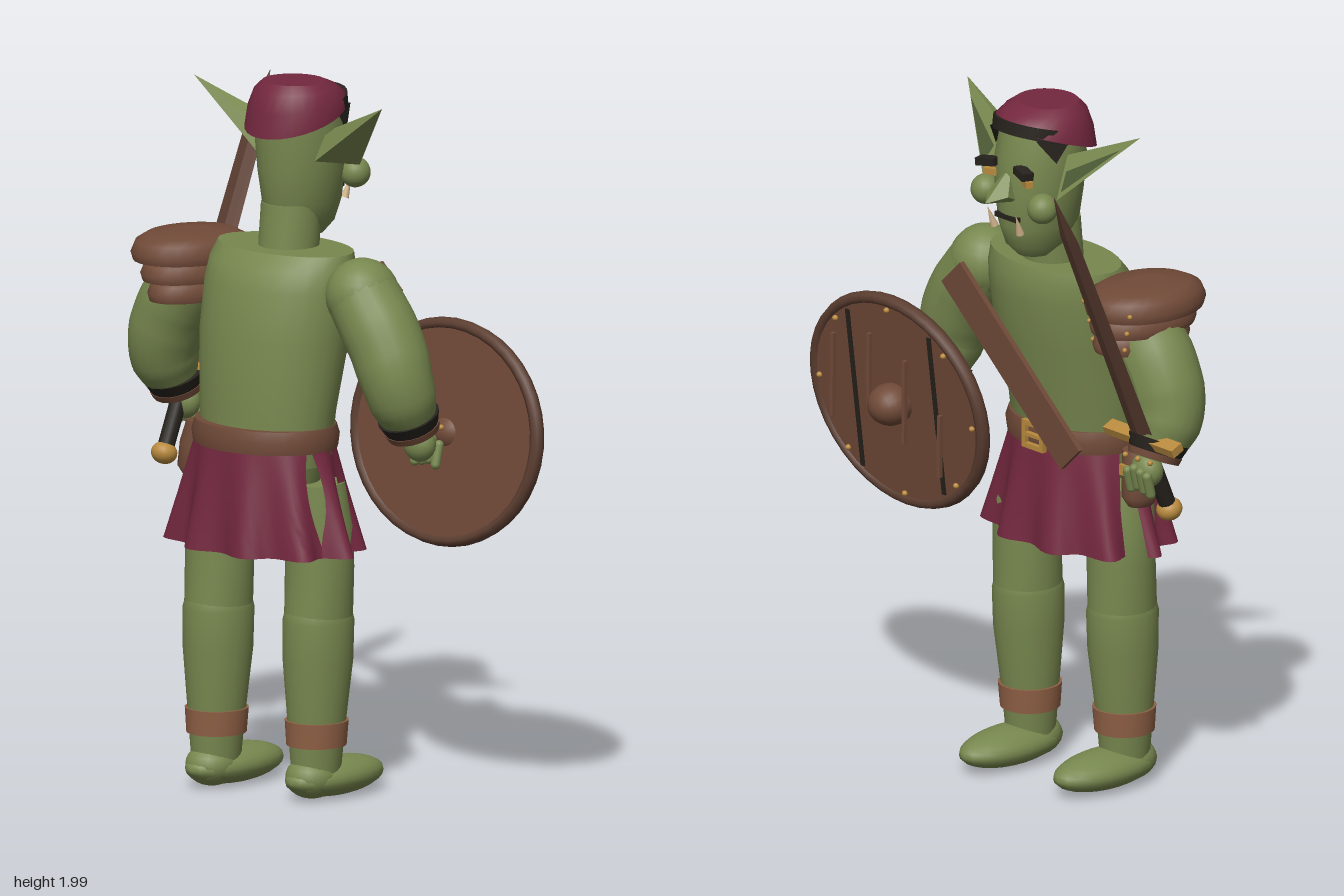
import * as THREE from 'three';
import { ConvexGeometry } from 'three/addons/geometries/ConvexGeometry.js';

const V = (x, y, z) => new THREE.Vector3(x, y, z);
const MID = -0.107; // body centre line in z; the figure faces +x

function mat(name, color, double) {
  const m = new THREE.MeshStandardMaterial({ color });
  m.name = name;
  if (double) m.side = THREE.DoubleSide;
  return m;
}

// Stack of ellipses: [y, cx, cz, rx, rz, tilt], closed at both ends
function loft(sections, sides = 28, flat = false) {
  const first = sections[0], last = sections[sections.length - 1];
  const point = s => [s[0], s[1], s[2], 0, 0];
  const rings = [point(first), first, ...sections, last, point(last)];
  const pos = [], idx = [];
  for (const [y, cx, cz, rx, rz, tilt = 0] of rings)
    for (let i = 0; i < sides; i++) {
      const a = i / sides * Math.PI * 2, dx = Math.cos(a) * rx;
      pos.push(cx + dx, y + tilt * dx, cz + Math.sin(a) * rz);
    }
  for (let j = 0; j < rings.length - 1; j++)
    for (let i = 0; i < sides; i++) {
      const k = (i + 1) % sides, a = j * sides + i, c = j * sides + k;
      idx.push(a, a + sides, c, a + sides, c + sides, c);
    }
  let g = new THREE.BufferGeometry();
  g.setAttribute('position', new THREE.Float32BufferAttribute(pos, 3));
  g.setIndex(idx);
  if (flat) g = g.toNonIndexed();
  g.computeVertexNormals();
  return g;
}

// Tube whose radius follows a list of values along its path
function limb(points, radii) {
  const n = 24, sides = 20, curve = new THREE.CatmullRomCurve3(points);
  const g = new THREE.TubeGeometry(curve, n, 1, sides);
  const p = g.attributes.position, v = V(0, 0, 0);
  for (let i = 0; i <= n; i++) {
    const c = curve.getPointAt(i / n), f = i / n * (radii.length - 1);
    const k = Math.min(Math.floor(f), radii.length - 2);
    const r = THREE.MathUtils.lerp(radii[k], radii[k + 1], f - k);
    for (let j = 0; j <= sides; j++) {
      const q = i * (sides + 1) + j;
      v.fromBufferAttribute(p, q).sub(c).multiplyScalar(r).add(c);
      p.setXYZ(q, v.x, v.y, v.z);
    }
  }
  g.computeVertexNormals();
  return g;
}

export function createModel() {
  const root = new THREE.Group();
  const green = mat('skin green', 0x78884f), darkGreen = mat('dark green', 0x4b5833, true);
  const brown = mat('leather brown', 0x704a38), darkBrown = mat('dark brown', 0x5c3e31);
  const tan = mat('ankle tan', 0x8f6045), gold = mat('gold', 0xb88a3e);
  const maroon = mat('maroon cloth', 0x74283f, true), black = mat('black', 0x26221d);
  const bone = mat('bone', 0xd2b48c);

  const add = (name, geo, m, pos = [0, 0, 0], rot = [0, 0, 0], parent = root) => {
    const o = new THREE.Mesh(geo, m);
    o.name = name;
    o.position.set(...pos);
    o.rotation.set(...rot);
    parent.add(o);
    return o;
  };
  const ball = (name, m, pos, r, scale = [1, 1, 1], parent = root) => {
    const o = add(name, new THREE.SphereGeometry(r, 20, 14), m, pos, [0, 0, 0], parent);
    o.scale.set(...scale);
    return o;
  };
  const box = (name, m, size, pos, rot, parent) => add(name, new THREE.BoxGeometry(...size), m, pos, rot, parent);

  // Torso, hips, neck and head
  add('torso', loft([[0.95, -0.14, MID, 0.15, 0.2], [1.1, -0.132, MID, 0.155, 0.215], [1.3, -0.105, MID, 0.177, 0.232],
    [1.44, -0.083, MID, 0.17, 0.238], [1.5, -0.07, MID, 0.158, 0.235], [1.54, -0.058, MID, 0.132, 0.225]]), green);
  add('hips', loft([[0.83, -0.13, MID, 0.1, 0.15], [0.97, -0.14, MID, 0.135, 0.185]]), green);
  add('neck', loft([[1.5, -0.05, MID, 0.085, 0.085], [1.66, -0.035, MID, 0.085, 0.085]]), green);
  add('head', loft([[1.565, 0.015, MID, 0.06, 0.05], [1.6, 0.01, MID, 0.1, 0.08], [1.66, 0.007, MID, 0.122, 0.1],
    [1.75, 0.005, MID, 0.128, 0.118], [1.85, 0, MID, 0.13, 0.125], [1.93, -0.01, MID, 0.12, 0.12]]), green);
  add('hair', loft([[1.905, 0.003, MID, 0.135, 0.13, 0.25], [1.945, 0, MID, 0.133, 0.13, 0.2]]), black);
  add('cap', loft([[1.9, -0.015, MID - 0.003, 0.145, 0.14, 0.32], [1.945, -0.015, MID, 0.136, 0.135, 0.17],
    [1.98, -0.02, MID, 0.115, 0.115, 0.05], [2.0, -0.025, MID, 0.085, 0.09]]), maroon);

  // Face: mirrored halves around the centre line
  for (const s of [1, -1]) {
    const half = new THREE.Group();
    half.name = s > 0 ? 'leftFace' : 'rightFace';
    half.position.z = MID;
    half.scale.z = s;
    root.add(half);
    add('ear', new ConvexGeometry([V(-0.06, 1.79, 0.11), V(0.08, 1.765, 0.15), V(0.01, 1.875, 0.12),
      V(-0.03, 1.85, 0.1), V(-0.05, 1.97, 0.352)]), green, [0, 0, 0], [0, 0, 0], half);
    const inner = new THREE.BufferGeometry().setFromPoints([V(0.066, 1.79, 0.16), V(0.033, 1.84, 0.147), V(-0.025, 1.93, 0.305)]);
    inner.computeVertexNormals();
    add('innerEar', inner, darkGreen, [0.007, 0, 0], [0, 0, 0], half);
    add('temple', new ConvexGeometry([V(0.105, 1.93, 0.093), V(0.01, 1.92, 0.132), V(0.055, 1.86, 0.123),
      V(0.05, 1.92, 0.09)]), black, [0, 0, 0], [0, 0, 0], half);
    ball('cheek', green, [0.1, 1.737, 0.115], 0.043, [1, 1, 1], half);
    box('eye', gold, [0.02, 0.018, 0.045], [0.117, 1.805, 0.071], [0, 0.45, 0], half);
    box('brow', black, [0.035, 0.022, 0.06], [0.133, 1.838, 0.073], [0.12, 0.3, 0], half);
    add('tusk', new THREE.ConeGeometry(0.012, 0.065, 8), bone, [0.137, 1.683, 0.055], [0.1, 0, -0.35], half);
  }
  add('nose', new ConvexGeometry([V(0.11, 1.84, MID), V(0.11, 1.74, MID - 0.03), V(0.11, 1.74, MID + 0.03),
    V(0.16, 1.765, MID - 0.04), V(0.16, 1.765, MID + 0.04), V(0.21, 1.748, MID)]), green);
  box('mouth', black, [0.02, 0.014, 0.09], [0.123, 1.69, MID]);

  // Legs, knees, ankle bands and feet
  for (const [side, z, dx] of [['left', 0.057, 0], ['right', -0.267, -0.055]]) {
    const leg = new THREE.Group();
    leg.name = side + 'Leg';
    leg.position.set(dx, 0, z);
    root.add(leg);
    add('thigh', loft([[0.5, -0.105, 0, 0.1, 0.092], [0.66, -0.1, 0, 0.095, 0.097], [0.78, -0.1, 0, 0.095, 0.095],
      [0.9, -0.11, 0, 0.085, 0.07]]), green, [0, 0, 0], [0, 0, 0], leg);
    add('shin', loft([[0.06, -0.115, 0, 0.07, 0.065], [0.2, -0.113, 0, 0.08, 0.078], [0.4, -0.107, 0, 0.101, 0.096],
      [0.51, -0.105, 0, 0.104, 0.097], [0.535, -0.105, 0, 0.098, 0.09]]), green, [0, 0, 0], [0, 0, 0], leg);
    add('ankleBand', loft([[0.16, -0.113, 0, 0.085, 0.083], [0.23, -0.112, 0, 0.09, 0.088]]), tan, [0, 0, 0], [0, 0, 0], leg);
    ball('foot', green, [-0.04, 0.062, 0], 0.18, [1, 0.3, 0.49], leg);
    ball('heel', green, [-0.13, 0.07, 0], 0.08, [1, 0.75, 0.9], leg);
  }

  // Pleated skirt in panels: an open slit and a lens-shaped tear over each hip
  const gap = (a, t) => Math.cos(a) > 0 ? 0.12 * Math.min(1, t * 1.6) : 0.13 * Math.sin(Math.PI * Math.min(1, t * 1.15));
  const panel = (a0, a1) => {
    const n = 36, rows = 10, pos = [], idx = [];
    for (let j = 0; j <= rows; j++)
      for (let i = 0; i <= n; i++) {
        const t = j / rows, a = THREE.MathUtils.lerp(a0 + gap(a0, t), a1 - gap(a1, t), i / n);
        const w = 1 - 0.09 * t * Math.cos(a * 10);
        pos.push(-0.145 + Math.cos(a) * (0.16 + 0.04 * t) * w, 1.03 - 0.32 * t, MID + Math.sin(a) * (0.208 + 0.092 * t) * w);
        if (i < n && j < rows) {
          const k = j * (n + 1) + i;
          idx.push(k, k + 1, k + n + 1, k + 1, k + n + 2, k + n + 1);
        }
      }
    const g = new THREE.BufferGeometry();
    g.setAttribute('position', new THREE.Float32BufferAttribute(pos, 3));
    g.setIndex(idx);
    g.computeVertexNormals();
    return g;
  };
  const cuts = [-1.33, 1.33, 1.85, Math.PI * 2 - 1.85, Math.PI * 2 - 1.33];
  for (let i = 0; i < 4; i++) add('skirtPanel', panel(cuts[i], cuts[i + 1]), maroon);

  // Belt, buckle and pouch
  add('belt', loft([[0.995, -0.142, MID, 0.176, 0.22], [1.03, -0.142, MID, 0.181, 0.224], [1.06, -0.142, MID, 0.172, 0.215]]), brown);
  for (const s of [1, -1]) {
    box('buckle', gold, [0.015, 0.014, 0.086], [0.047, 1.035 + s * 0.033, -0.13]);
    box('buckle', gold, [0.015, 0.08, 0.014], [0.047, 1.035, -0.13 + s * 0.036]);
  }
  box('bucklePin', gold, [0.015, 0.01, 0.06], [0.047, 1.035, -0.13]);
  add('pouch', loft([[0.86, -0.12, -0.385, 0.04, 0.03], [0.89, -0.12, -0.385, 0.06, 0.048], [0.96, -0.12, -0.38, 0.055, 0.046],
    [1.02, -0.12, -0.37, 0.045, 0.035]], 16), brown);
  box('pouchClasp', gold, [0.03, 0.03, 0.03], [-0.075, 0.97, -0.375]);

  // Chest strap
  box('chestStrap', brown, [0.016, 0.63, 0.105], [0.08, 1.235, -0.077], [0.77, 0, -0.07]);

  // Arms, cuffs and hands
  const arms = [['left', [V(-0.07, 1.44, 0.19), V(-0.07, 1.31, 0.28), V(-0.065, 1.19, 0.325), V(-0.01, 1.06, 0.33)]],
    ['right', [V(-0.07, 1.41, -0.44), V(-0.075, 1.3, -0.515), V(-0.07, 1.19, -0.553), V(-0.02, 1.06, -0.55)]]];
  for (const [side, pts] of arms) {
    const z = pts[3].z;
    add(side + 'Arm', limb(pts, [0.103, 0.108, 0.106, 0.095, 0.06]), green);
    ball(side + 'Shoulder', green, pts[0].toArray(), 0.104);
    add(side + 'Cuff', new THREE.CylinderGeometry(0.088, 0.076, 0.035, 20), black, [-0.028, 1.097, z], [0, 0, 0.4]);
    add(side + 'CuffBand', new THREE.CylinderGeometry(0.079, 0.074, 0.02, 20), brown, [-0.017, 1.072, z], [0, 0, 0.4]);
    for (const d of [-0.05, 0, 0.05]) ball('cuffStud', gold, [0.045, 1.075, z + d], 0.008);
    ball(side + 'Palm', green, [0, 1.03, z + 0.01], 0.05, [0.8, 1, 1]);
    for (let i = 0; i < 4; i++)
      add(side + 'Finger', new THREE.CapsuleGeometry(0.014, 0.055, 4, 10), green,
        [0.03, 1.0 + (i % 3) * 0.006, z + 0.01 + (i - 1.5) * 0.026], [0, 0, -0.25]);
  }

  // Layered shoulder guard with studs
  const layers = [[1.355, 0.065, 0.16, 0.1, -0.43], [1.41, 0.065, 0.172, 0.118, -0.437], [1.465, 0.075, 0.188, 0.145, -0.445]];
  for (const [y, h, rx, rz, z] of layers) {
    add('shoulderGuard', loft([[y, -0.08, z, rx * 0.96, rz * 0.96], [y + h * 0.3, -0.08, z, rx, rz],
      [y + h * 0.7, -0.08, z, rx * 0.93, rz * 0.92], [y + h * 0.92, -0.08, z, rx * 0.75, rz * 0.75],
      [y + h, -0.08, z, rx * 0.35, rz * 0.35]]), brown);
    for (const a of [-0.7, 0.7])
      ball('guardStud', gold, [-0.08 + Math.cos(a) * rx, y + h * 0.35, z + Math.sin(a) * rz], 0.007);
  }

  // Sword, leaning forward
  const sword = new THREE.Group();
  sword.name = 'sword';
  sword.position.set(0.015, 1.125, -0.54);
  sword.rotation.z = -0.405;
  root.add(sword);
  add('blade', loft([[0, 0, 0, 0.013, 0.047], [0.71, 0, 0, 0.009, 0.036], [0.855, 0, 0, 0.001, 0.001]], 4, true), darkBrown, [0, 0, 0], [0, 0, 0], sword);
  box('guard', gold, [0.04, 0.025, 0.28], [0, 0, 0], [0, 0, 0], sword);
  add('grip', new THREE.CylinderGeometry(0.024, 0.024, 0.23, 14), black, [0, -0.12, 0], [0, 0, 0], sword);
  ball('pommel', gold, [0, -0.25, 0], 0.037, [1, 0.85, 1], sword);

  // Round shield: local y points outward along +x, local -x points up
  const shield = new THREE.Group();
  shield.name = 'shield';
  shield.position.set(0.13, 1.042, 0.325);
  shield.rotation.z = -Math.PI / 2 - 0.125;
  shield.scale.set(0.9, 1, 1);
  root.add(shield);
  add('shieldFace', new THREE.CylinderGeometry(0.335, 0.335, 0.028, 40), brown, [0, 0, 0], [0, 0, 0], shield);
  const rim = add('shieldRim', new THREE.TorusGeometry(0.335, 0.019, 8, 40), darkBrown, [0, 0, 0], [Math.PI / 2, 0, 0], shield);
  rim.scale.z = 1.1;
  for (const z of [-0.165, 0.165])
    box('plankGap', black, [0.53, 0.008, 0.014], [0, 0.015, z], [0, 0, 0], shield);
  for (const [x, z, l] of [[-0.04, 0.22, 0.27], [-0.1, 0.065, 0.24], [-0.03, -0.07, 0.27], [0.08, -0.2, 0.2]])
    box('splinter', brown, [l, 0.012, 0.012], [x, 0.045, z], [0, 0, 0.12], shield);
  for (let i = 0; i < 8; i++) {
    const a = i * Math.PI / 4;
    ball('shieldStud', gold, [Math.cos(a) * 0.31, 0.016, Math.sin(a) * 0.31], 0.009, [1, 1, 1], shield);
  }
  ball('shieldBoss', brown, [0, 0.035, 0], 0.066, [1, 1, 1], shield);

  return root;
}
